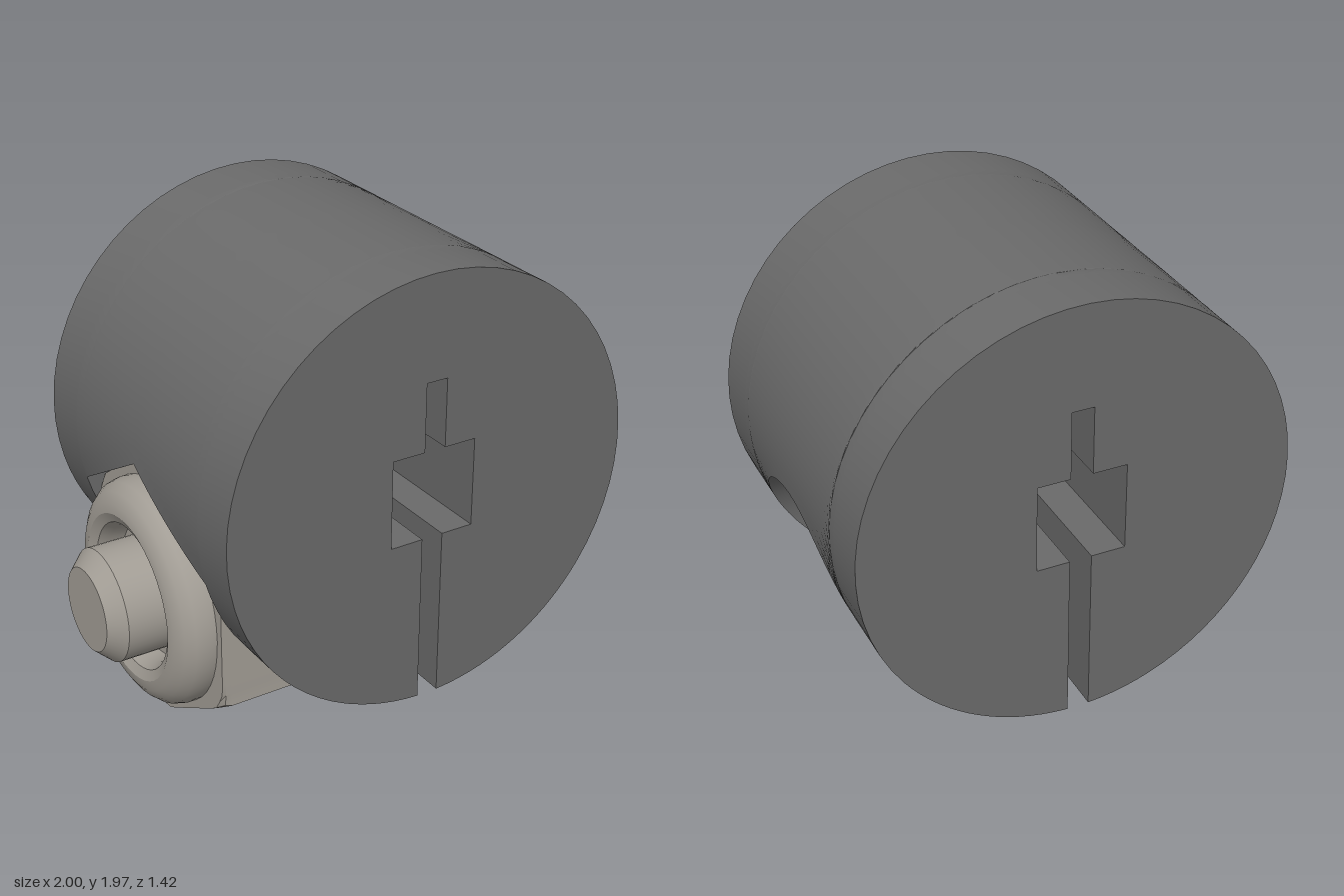
import * as THREE from 'three';
import { toCreasedNormals } from 'three/addons/utils/BufferGeometryUtils.js';

const CX = 0.11, CY = 1.085, R = 0.885;      // clamp cylinder
const AXIS_Y = 0.57;                         // screw axis height
const BORE = 0.455, BORE_X = 0.42;           // screw head pocket
const HEX = 0.57, HEX_FLAT = HEX * Math.cos(Math.PI / 6), HEX_X = -0.2;

const onCircle = a => [CX + R * Math.cos(a), CY + R * Math.sin(a)];
const lowerAngle = x => 2 * Math.PI - Math.acos((x - CX) / R);

function arc(a, b, n) {
  return Array.from({ length: n + 1 }, (_, i) => onCircle(a + (b - a) * i / n));
}

function line(p, q, n) {
  return Array.from({ length: n + 1 }, (_, i) =>
    [p[0] + (q[0] - p[0]) * i / n, p[1] + (q[1] - p[1]) * i / n]);
}

// Cross-section of the clamp at depth z, with or without the two pockets
function section(z, cutRight, cutLeft) {
  const d = Math.abs(z);
  const hR = AXIS_Y + Math.sqrt(Math.max(0, BORE * BORE - d * d));
  const hL = AXIS_Y + HEX - Math.min(d, HEX_FLAT) * Math.tan(Math.PI / 6);
  const aR = Math.asin((hR - CY) / R), aL = Math.PI - Math.asin((hL - CY) / R);
  const angL = lowerAngle(HEX_X), angR = lowerAngle(BORE_X);
  const left = cutLeft
    ? [...line(onCircle(aL), [HEX_X, hL], 6), ...line([HEX_X, hL], onCircle(angL), 6).slice(1)]
    : arc(aL, angL, 12);
  const right = cutRight
    ? [...line(onCircle(angR), [BORE_X, hR], 6), ...line([BORE_X, hR], onCircle(aR), 6).slice(1)]
    : arc(angR, aR + 2 * Math.PI, 12);
  const slot = [[0.065, 0.905], [-0.075, 0.905], [-0.075, 1.27], [0.065, 1.27], [0.065, 1.55],
    [0.155, 1.55], [0.155, 1.27], [0.29, 1.27], [0.29, 0.905], [0.155, 0.905]];
  return [
    ...arc(aR, aL, 40),
    ...left.slice(1),
    ...arc(angL, lowerAngle(0.065), 5).slice(1),
    ...slot,
    ...arc(lowerAngle(0.155), angR, 5),
    ...right.slice(1, -1),
  ];
}

// Middle of the clamp: sections joined along z, so the pockets are cut out
function clampMiddle() {
  const half = [[0.5, false, false], [HEX_FLAT, false, false], [HEX_FLAT, false, true],
    [BORE, false, true]];
  for (let i = 0; i < 14; i++) half.push([BORE * Math.cos(i / 14 * Math.PI / 2), true, true]);
  const rings = [...half.map(([z, r, l]) => [-z, r, l]), [0, true, true], ...half.reverse()];
  const pos = [], index = [];
  let n = 0;
  rings.forEach(([z, r, l]) => {
    const pts = section(z, r, l);
    n = pts.length;
    pts.forEach(p => pos.push(p[0], p[1], z));
  });
  for (let i = 0; i < rings.length - 1; i++) {
    for (let j = 0; j < n; j++) {
      const k = (j + 1) % n;
      const a = i * n + j, b = i * n + k, c = b + n, d = a + n;
      index.push(a, b, c, a, c, d);
    }
  }
  const g = new THREE.BufferGeometry();
  g.setAttribute('position', new THREE.Float32BufferAttribute(pos, 3));
  g.setIndex(index);
  return toCreasedNormals(g, 0.5);
}

// Turned part on the screw axis; profile points are [x, radius]
function turned(profile, segments = 48) {
  return new THREE.LatheGeometry(profile.map(([x, r]) => new THREE.Vector2(r, x)), segments);
}

// Hexagon with corners rounded off by a turned profile
function hexNut() {
  const g = turned([[-0.685, 0], [-0.685, 0.54], [-0.67, 0.56], [-0.645, HEX],
    [-0.25, HEX], [-0.215, 0.55], [-0.2, 0.52], [-0.2, 0]], 72);
  const p = g.attributes.position;
  for (let i = 0; i < p.count; i++) {
    const x = p.getX(i), z = p.getZ(i), r = Math.hypot(x, z);
    const a = Math.atan2(x, z) + 2 * Math.PI;
    const fromFlat = ((a + Math.PI / 6) % (Math.PI / 3)) - Math.PI / 6;
    const limit = HEX_FLAT / Math.cos(fromFlat);
    if (r > limit) {
      p.setX(i, x * limit / r);
      p.setZ(i, z * limit / r);
    }
  }
  return g;
}

export function createModel() {
  const model = new THREE.Group();
  const darkGrey = new THREE.MeshStandardMaterial({ color: 0x6a6a6a });
  darkGrey.name = 'darkGrey';
  const steel = new THREE.MeshStandardMaterial({ color: 0xa29d95 });
  steel.name = 'steel';

  const add = (parent, name, geometry, material) => {
    const mesh = new THREE.Mesh(geometry, material);
    mesh.name = name;
    parent.add(mesh);
    return mesh;
  };

  // Slotted clamp body
  const clamp = new THREE.Group();
  clamp.name = 'clampBody';
  model.add(clamp);
  add(clamp, 'clampMiddle', clampMiddle(), darkGrey);
  const outline = new THREE.Shape(section(0.5, false, false).map(p => new THREE.Vector2(...p)));
  const endGeometry = toCreasedNormals(
    new THREE.ExtrudeGeometry(outline, { depth: 0.21, bevelEnabled: false }), 0.5);
  add(clamp, 'frontEnd', endGeometry, darkGrey).position.z = 0.5;
  add(clamp, 'backEnd', endGeometry, darkGrey).position.z = -0.71;

  // Screw and nut, built along +y and laid along +x
  const fastener = new THREE.Group();
  fastener.name = 'screwAndNut';
  fastener.position.y = AXIS_Y;
  fastener.rotation.z = -Math.PI / 2;
  model.add(fastener);
  const addTurned = (name, g) => add(fastener, name, toCreasedNormals(g, 0.5), steel);

  addTurned('screwShaft', turned([[-1, 0], [-1, 0.17], [-0.935, 0.23], [0.43, 0.23]]));
  addTurned('screwHead', turned([[0.42, 0], [0.42, 0.45], [0.455, 0.445], [0.505, 0.405],
    [0.555, 0.36], [0.605, 0.305], [0.645, 0.26], [0.668, 0.23], [0.645, 0.19]]));
  addTurned('hexNut', hexNut());
  addTurned('nutCollar', turned([[-0.71, 0.22], [-0.71, 0.27], [-0.77, 0.28], [-0.81, 0.3],
    [-0.83, 0.34], [-0.825, 0.38], [-0.8, 0.42], [-0.765, 0.45], [-0.72, 0.462], [-0.68, 0.462]]));

  // Six-lobed drive socket in the head
  const disc = new THREE.Shape();
  disc.absarc(0, 0, 0.192, 0, Math.PI * 2, false);
  const lobes = [];
  for (let i = 0; i < 72; i++) {
    const a = i / 72 * Math.PI * 2;
    const r = 0.163 + 0.025 * Math.cos(6 * a);
    lobes.push(new THREE.Vector2(r * Math.cos(a), r * Math.sin(a)));
  }
  disc.holes.push(new THREE.Path(lobes));
  const socket = new THREE.ExtrudeGeometry(disc,
    { depth: 0.13, bevelEnabled: false, curveSegments: 48 });
  socket.rotateX(-Math.PI / 2).rotateY(Math.PI / 2).translate(0, 0.516, 0);
  addTurned('driveSocket', socket);
  addTurned('socketFloor', turned([[0.45, 0], [0.52, 0.19]].reverse()).scale(1, 1, 1));
  fastener.getObjectByName('socketFloor').material = steel;

  return model;
}
